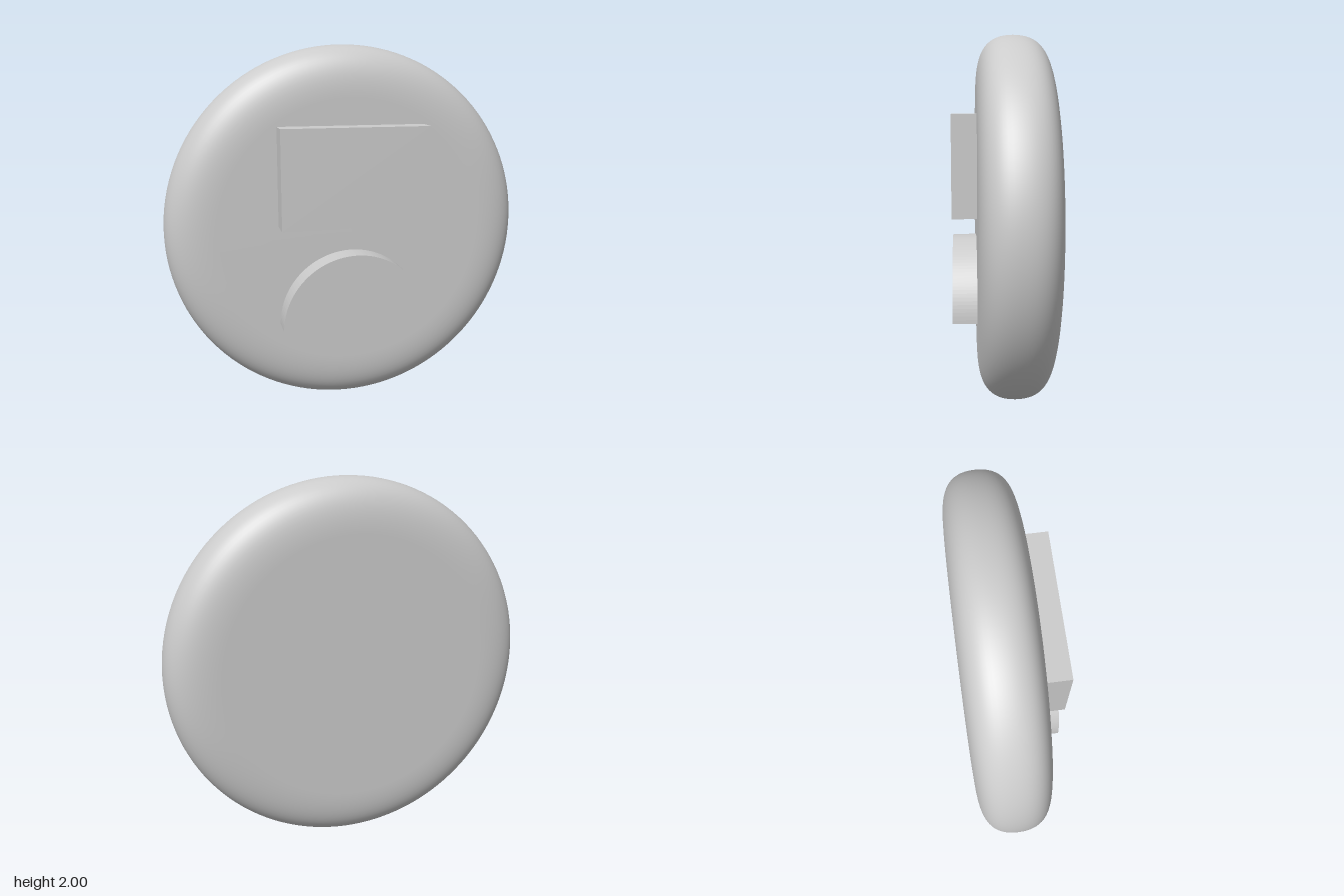
import * as THREE from 'three';

const material = new THREE.MeshStandardMaterial({ color: 0xcccccc });
const FACE_Z = 0.135; // front face of the disc
const FRONT_Z = 0.265; // front of the raised plates
const SINK = 0.02; // how far the plates sit inside the disc

function addPart(group, name, geometry) {
  const mesh = new THREE.Mesh(geometry, material);
  mesh.name = name;
  group.add(mesh);
  return mesh;
}

// Flat disc with a softly rounded rim, turned to face +z
function discGeometry() {
  const rim = new THREE.CubicBezierCurve(
    new THREE.Vector2(1, 0),
    new THREE.Vector2(1, 0.14),
    new THREE.Vector2(0.92, 0.2),
    new THREE.Vector2(0.72, 0.2)
  ).getPoints(16);
  const upper = [...rim, new THREE.Vector2(0, 0.2)];
  const lower = upper.slice(1).reverse().map((p) => new THREE.Vector2(p.x, -p.y));
  return new THREE.LatheGeometry([...lower, ...upper], 128).rotateX(Math.PI / 2);
}

// Raised plate cut from a shape, standing on the front face
function plateGeometry(shape) {
  const depth = FRONT_Z - FACE_Z + SINK;
  return new THREE.ExtrudeGeometry(shape, { depth, bevelEnabled: false, curveSegments: 32 })
    .translate(0, 0, FACE_Z - SINK);
}

export function createModel() {
  const group = new THREE.Group();
  group.name = 'roundBadge';

  addPart(group, 'disc', discGeometry()).position.set(0, 1, FACE_Z - 0.2);

  // Upper rectangular plate
  const rectangle = new THREE.Shape();
  rectangle.moveTo(-0.4, 1.05).lineTo(0.4, 1.05).lineTo(0.4, 1.58).lineTo(-0.4, 1.58);
  rectangle.closePath();
  addPart(group, 'rectanglePlate', plateGeometry(rectangle));

  // Lower half-round plate, flat side down
  const halfRound = new THREE.Shape();
  halfRound.absarc(0, 0.5, 0.4, 0, Math.PI, false);
  halfRound.closePath();
  addPart(group, 'halfRoundPlate', plateGeometry(halfRound));

  return group;
}
